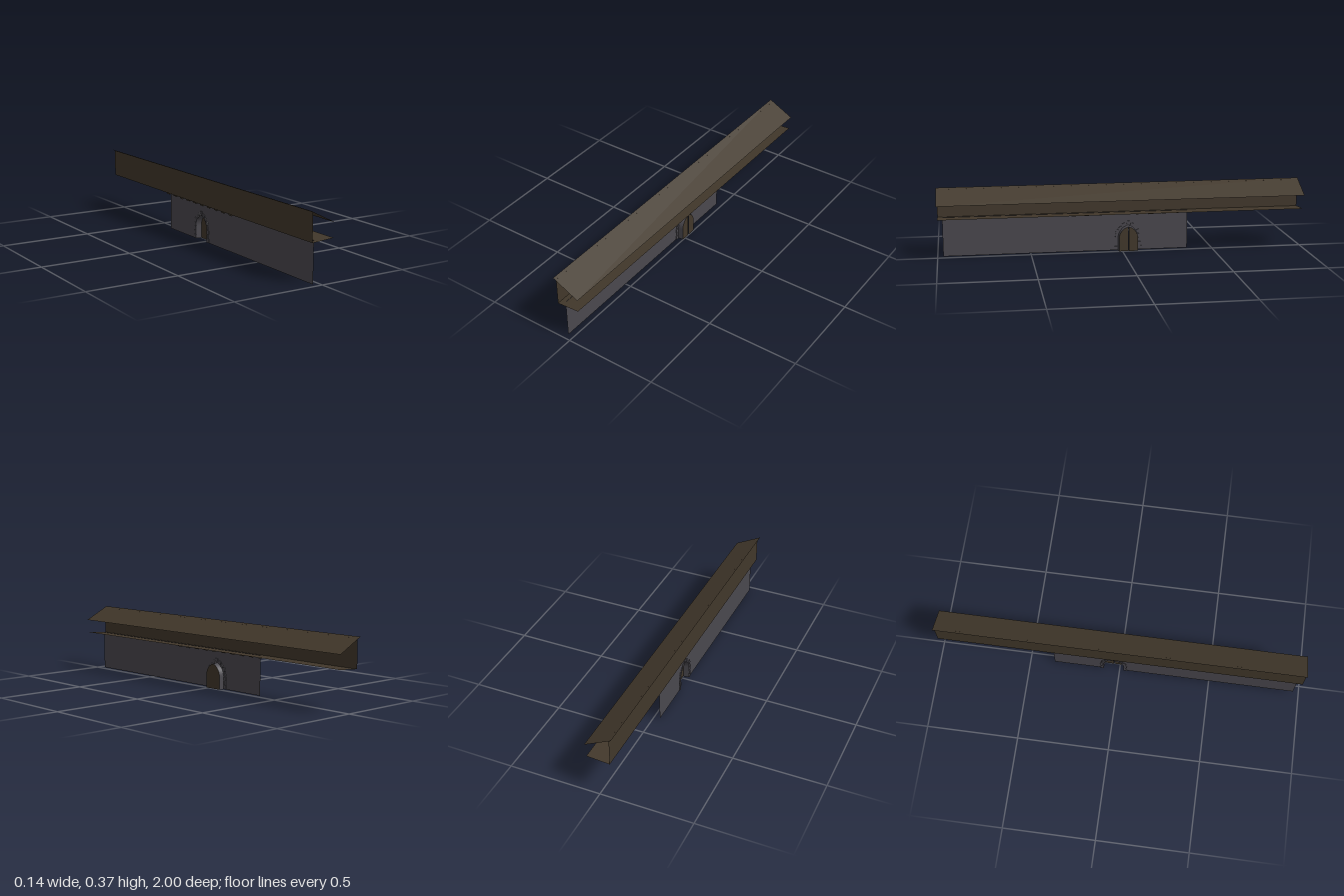
import * as THREE from 'three';

const HALF = 0.055, SPRING = 0.07, TOP = 0.14, DOOR_Z = -0.034;
const WALL_X = -0.033, DOOR_X = -0.002;

export function createModel() {
  const stone = new THREE.MeshStandardMaterial({ color: 0x4a484e, side: THREE.DoubleSide });
  stone.name = 'dark stone';
  const wood = new THREE.MeshStandardMaterial({ color: 0x42382b, side: THREE.DoubleSide });
  wood.name = 'dark wood';

  const model = new THREE.Group();
  const add = (name, geometry, material, parent = model) => {
    const mesh = new THREE.Mesh(geometry, material);
    mesh.name = name;
    parent.add(mesh);
    return mesh;
  };

  // Strip between two equally long rows of [x, y, z] points
  const strip = (a, b) => {
    const index = [];
    for (let i = 0; i < a.length - 1; i++) {
      const n = a.length + i;
      index.push(i, i + 1, n, i + 1, n + 1, n);
    }
    const g = new THREE.BufferGeometry();
    g.setAttribute('position', new THREE.Float32BufferAttribute([...a, ...b].flat(), 3));
    g.setIndex(index);
    g.computeVertexNormals();
    return g;
  };
  // Long thin sheet between two profile points, running along z
  const sheet = ([x1, y1], [x2, y2], z) =>
    strip([[x1, y1, z], [x1, y1, -z]], [[x2, y2, z], [x2, y2, -z]]);

  // Gallery: sloping roof, back boards and floor
  add('roof', sheet([-0.074, 0.369], [0.07, 0.296], 1), wood);
  add('galleryBack', sheet([-0.06, 0.362], [-0.06, 0.212], 0.995), wood);
  add('galleryFloor', sheet([-0.06, 0.212], [0.065, 0.221], 0.995), wood);

  // Pointed arch: one side curve from springing (t = 0) to apex (t = 1)
  const archPoint = (t, half = HALF, top = TOP, off = 0) => {
    const h = top - SPRING;
    const r = (half * half + h * h) / (2 * half);
    const a = t * Math.asin(h / r);
    return [half - r + (r + off) * Math.cos(a), SPRING + (r + off) * Math.sin(a), a];
  };
  // Half outline from the ground up to the apex, as [z offset, y]
  const halfArch = (half, top) => {
    const pts = [[half, 0]];
    for (let i = 0; i <= 8; i++) pts.push(archPoint(i / 8, half, top).slice(0, 2));
    return pts;
  };
  const fullArch = (half, top) => {
    const side = halfArch(half, top);
    return [...side, ...side.slice(0, -1).reverse().map(([z, y]) => [-z, y])];
  };
  const toShape = (pts) => new THREE.Shape(pts.map(([z, y]) => new THREE.Vector2(z, y)));
  // Turn shapes drawn in (z, y) to stand across the x axis
  const stand = (g, x) => g.rotateY(-Math.PI / 2).translate(x, 0, 0);

  // Stone wall with the doorway cut up from the ground
  const opening = fullArch(HALF, TOP).map(([z, y]) => [z + DOOR_Z, y]).reverse();
  const wall = toShape([[-0.365, 0], ...opening, [0.97, 0], [0.97, 0.216], [-0.365, 0.216]]);
  add('stoneWall', stand(new THREE.ShapeGeometry(wall), WALL_X), stone);

  // Doorway: tapering reveal, two leaves and a ring of stones
  const doorway = new THREE.Group();
  doorway.name = 'doorway';
  doorway.position.z = DOOR_Z;
  model.add(doorway);

  const outer = fullArch(HALF, TOP).map(([z, y]) => [WALL_X, y, z]);
  const inner = fullArch(HALF - 0.003, TOP - 0.004).map(([z, y]) => [DOOR_X, y, z]);
  add('doorReveal', strip(outer, inner), stone, doorway);

  for (const s of [1, -1]) {
    const leaf = [[0.0008, 0], ...halfArch(HALF - 0.003, TOP - 0.004).slice(0, -1), [0.0008, TOP - 0.005]];
    const g = new THREE.ShapeGeometry(toShape(leaf.map(([z, y]) => [s * z, y])));
    add('doorLeaf', stand(g, DOOR_X), wood, doorway);

    // Jamb stones, alternately long and short
    for (let i = 0; i < 3; i++) {
      const w = i % 2 ? 0.014 : 0.02;
      const block = add('jambStone', new THREE.BoxGeometry(0.008, 0.021, w), stone, doorway);
      block.position.set(-0.032 - 0.0008 * (i % 2), 0.0115 + i * 0.0235, s * (HALF + w / 2));
    }
    // Arch stones following the curve
    for (let i = 0; i < 4; i++) {
      const w = i % 2 ? 0.019 : 0.015;
      const [z, y, a] = archPoint((i + 0.5) / 4.4, HALF, TOP, w / 2);
      const block = add('archStone', new THREE.BoxGeometry(0.008, 0.019, w), stone, doorway);
      block.position.set(-0.032 - 0.0008 * (i % 2), y, s * z);
      block.rotation.x = -s * a;
    }
  }
  // Keystone at the apex
  const key = toShape([[-0.005, 0.142], [0, 0.139], [0.005, 0.142], [0.009, 0.163], [-0.009, 0.163]]);
  const keyGeometry = new THREE.ExtrudeGeometry(key, { depth: 0.008, bevelEnabled: false });
  add('keystone', stand(keyGeometry, -0.028), stone, doorway);

  // Short beam ends under the gallery floor
  for (let i = 0; i < 10; i++) {
    const beam = add('beamEnd', new THREE.BoxGeometry(0.023, 0.012, 0.025), wood);
    beam.position.set(-0.0335, 0.206, 0.265 - i * 0.071);
  }
  return model;
}
